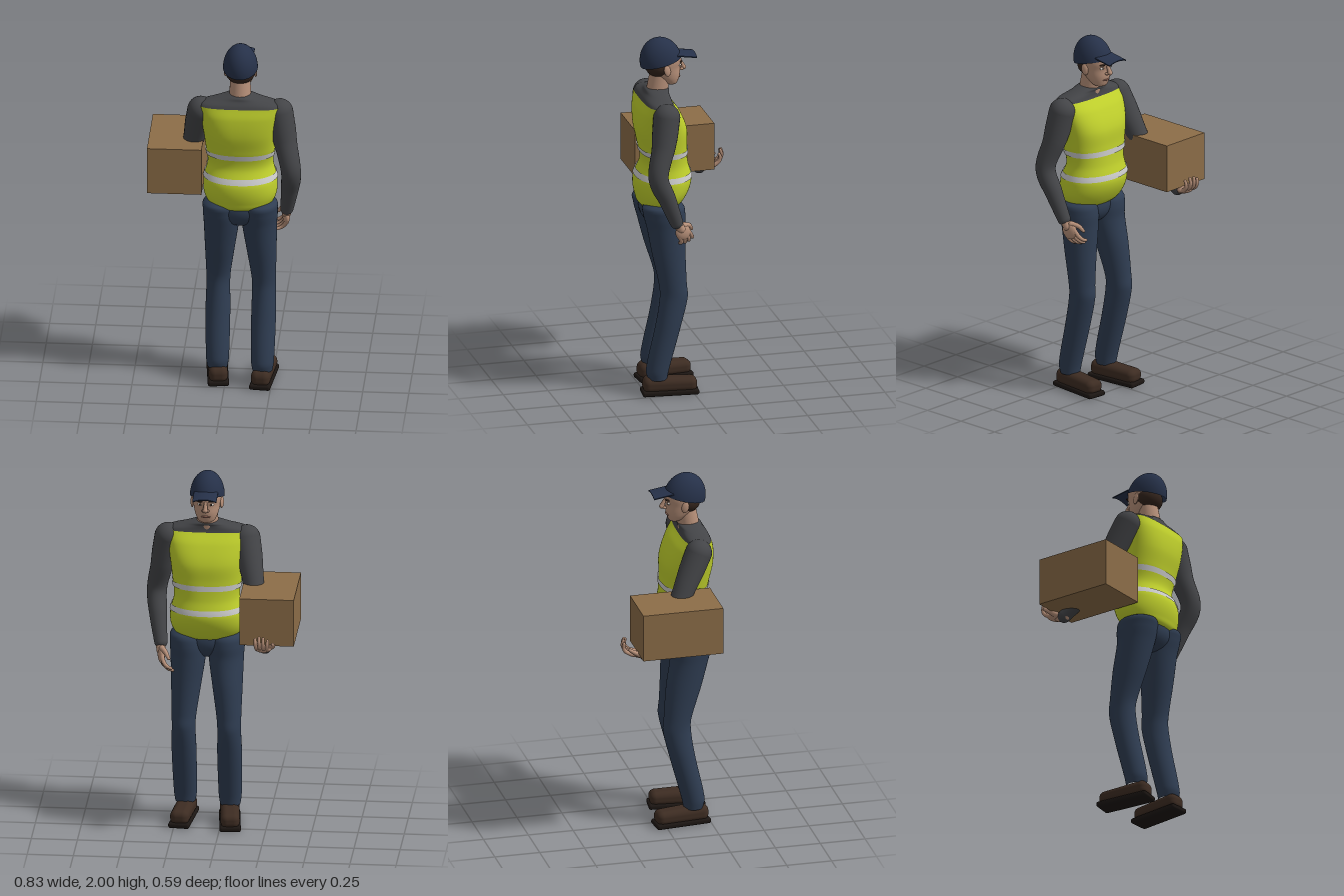
import * as THREE from 'three';
import { RoundedBoxGeometry } from 'three/addons/geometries/RoundedBoxGeometry.js';

const CX = 0.08; // centre line of the body
const V = (x, y, z) => new THREE.Vector3(x, y, z);
const material = (color, side = THREE.FrontSide) => new THREE.MeshStandardMaterial({ color, side });
const yellow = material(0xc0d02c), shirt = material(0x434447), denim = material(0x2f3d52);
const navy = material(0x263149, THREE.DoubleSide), skin = material(0xb8917a), hairMat = material(0x33241c);
const leather = material(0x3d2c22), rubber = material(0x1c1613), silver = material(0xbcbcc0, THREE.DoubleSide);
const card = material(0x8c6d48), eyeWhite = material(0xd8d0c8), dark = material(0x2a1c16), lip = material(0x94685a);

function add(parent, name, geometry, mat, position) {
  const mesh = new THREE.Mesh(geometry, mat);
  mesh.name = name;
  if (position) mesh.position.copy(position);
  parent.add(mesh);
  return mesh;
}

function ball(parent, name, mat, position, rx, ry, rz) {
  const mesh = add(parent, name, new THREE.SphereGeometry(1, 24, 16), mat, position);
  mesh.scale.set(rx, ry, rz);
  return mesh;
}

// Rows are [y, centre x, front z, back z, half width, squareness], rising in y.
function ringAt(rows, y) {
  let i = 0;
  while (i < rows.length - 2 && y > rows[i + 1][0]) i++;
  const p = rows[Math.max(i - 1, 0)], a = rows[i], b = rows[i + 1], n = rows[Math.min(i + 2, rows.length - 1)];
  const h = b[0] - a[0], t = (y - a[0]) / h, t2 = t * t, t3 = t2 * t;
  return a.map((v, k) => k === 0 ? y :
    (2 * t3 - 3 * t2 + 1) * v + (t3 - 2 * t2 + t) * h * (b[k] - p[k]) / (b[0] - p[0]) +
    (3 * t2 - 2 * t3) * b[k] + (t3 - t2) * h * (n[k] - v) / (n[0] - a[0]));
}

function loft(rows, { from = rows[0][0], to = rows.at(-1)[0], grow = 0, steps = 40, sides = 48 } = {}) {
  const levels = [];
  for (let i = 0; i <= steps; i++) levels.push(from + (to - from) * i / steps);
  const pos = [], index = [];
  for (const y of levels) {
    const [, cx, z0, z1, rx, n = 2] = ringAt(rows, y);
    const power = (v) => Math.sign(v) * Math.abs(v) ** (2 / n);
    for (let j = 0; j < sides; j++) {
      const a = j / sides * Math.PI * 2;
      pos.push(cx + (Math.max(rx, 0.001) + grow) * power(Math.cos(a)), y,
        (z0 + z1) / 2 + (Math.max((z1 - z0) / 2, 0.001) + grow) * power(Math.sin(a)));
    }
  }
  for (let i = 0; i < steps; i++) for (let j = 0; j < sides; j++) {
    const a = i * sides + j, b = i * sides + (j + 1) % sides;
    index.push(a, a + sides, b, b, a + sides, b + sides);
  }
  const g = new THREE.BufferGeometry();
  g.setAttribute('position', new THREE.Float32BufferAttribute(pos, 3));
  g.setIndex(index);
  g.computeVertexNormals();
  return g;
}

// Rounded limb along a path, with radii spread evenly over its length
function limb(parent, name, mat, points, radii, segments = 30, sides = 24) {
  const group = new THREE.Group();
  group.name = name;
  parent.add(group);
  const curve = new THREE.CatmullRomCurve3(points, false, 'centripetal');
  const g = new THREE.TubeGeometry(curve, segments, 1, sides);
  const p = g.attributes.position, v = V(0, 0, 0);
  for (let i = 0; i <= segments; i++) {
    const u = i / segments * (radii.length - 1), k = Math.min(Math.floor(u), radii.length - 2);
    const r = THREE.MathUtils.lerp(radii[k], radii[k + 1], u - k), c = curve.getPointAt(i / segments);
    for (let j = 0; j <= sides; j++) {
      const id = i * (sides + 1) + j;
      v.fromBufferAttribute(p, id).sub(c).multiplyScalar(r).add(c);
      p.setXYZ(id, v.x, v.y, v.z);
    }
  }
  add(group, name + 'Tube', g, mat);
  [[points[0], radii[0]], [points.at(-1), radii.at(-1)]].forEach(([c, r]) => ball(group, name + 'End', mat, c, r, r, r));
}

// Hand with its wrist at the origin, fingers along -y and palm facing +z
function hand(parent, name, wrist, direction, palm, thumbSide, curl) {
  const group = new THREE.Group();
  group.name = name;
  const y = direction.clone().negate().normalize();
  const x = new THREE.Vector3().crossVectors(y, palm).normalize();
  group.quaternion.setFromRotationMatrix(new THREE.Matrix4().makeBasis(x, y, new THREE.Vector3().crossVectors(x, y)));
  group.position.copy(wrist);
  parent.add(group);
  limb(group, 'wrist', skin, [V(0, 0.02, 0), V(0, -0.03, 0)], [0.027, 0.025], 4, 16);
  ball(group, 'palm', skin, V(0, -0.055, 0), 0.044, 0.046, 0.02);
  [0.9, 1.02, 1, 0.8].forEach((size, i) => {
    const fx = thumbSide * (0.033 - i * 0.022), points = [V(fx * 0.9, -0.07, 0)];
    [0.042, 0.03, 0.024].forEach((len, k) => {
      const a = curl * (k + 0.5) + i * 0.06;
      points.push(points.at(-1).clone().add(V(fx * 0.06, -Math.cos(a) * len * size, Math.sin(a) * len * size)));
    });
    limb(group, 'finger', skin, points, [0.0125, 0.011, 0.0085], 10, 12);
  });
  limb(group, 'thumb', skin, [V(thumbSide * 0.025, -0.025, 0.004), V(thumbSide * 0.053, -0.055, 0.018),
    V(thumbSide * 0.058, -0.09, 0.032)], [0.017, 0.013, 0.009], 10, 12);
}

function buildHead(model) {
  const head = new THREE.Group();
  head.name = 'head';
  model.add(head);
  add(head, 'face', loft([
    [1.727, CX, 0.07, 0.09, 0.005], [1.735, CX, 0.054, 0.115, 0.036], [1.76, CX, 0.043, 0.15, 0.055],
    [1.79, CX, 0.036, 0.185, 0.066], [1.83, CX, 0.036, 0.21, 0.074], [1.87, CX, 0.028, 0.222, 0.079],
    [1.92, CX, 0.04, 0.22, 0.076], [1.96, CX, 0.09, 0.18, 0.03]]), skin);
  limb(head, 'neck', skin, [V(CX, 1.68, 0.165), V(CX, 1.80, 0.145)], [0.06, 0.055]);
  ball(head, 'hair', hairMat, V(CX, 1.84, 0.152), 0.08, 0.065, 0.074);
  limb(head, 'nose', skin, [V(CX, 1.855, 0.031), V(CX, 1.818, 0.014)], [0.008, 0.014], 8, 12);
  const mouth = ball(head, 'mouth', lip, V(CX, 1.772, 0.042), 0.026, 0.006, 0.008);
  mouth.rotation.x = 0.2;
  for (const s of [-1, 1]) {
    ball(head, 'nostril', skin, V(CX + s * 0.012, 1.812, 0.027), 0.009, 0.008, 0.011);
    ball(head, 'eye', eyeWhite, V(CX + s * 0.031, 1.843, 0.045), 0.013, 0.008, 0.009);
    ball(head, 'pupil', dark, V(CX + s * 0.031, 1.843, 0.038), 0.005, 0.006, 0.004);
    ball(head, 'eyebrow', hairMat, V(CX + s * 0.033, 1.863, 0.037), 0.019, 0.005, 0.008).rotation.y = -s * 0.3;
    const ear = ball(head, 'ear', skin, V(CX + s * 0.08, 1.83, 0.125), 0.009, 0.032, 0.02);
    ear.rotation.set(0.2, s * 0.3, 0);
  }
  // Cap, with its rim raised toward the face
  const crown = add(head, 'capCrown', new THREE.SphereGeometry(1, 40, 20, 0, Math.PI * 2, 0, Math.PI / 2), navy, V(CX, 1.862, 0.14));
  crown.scale.set(0.094, 0.137, 0.115);
  crown.rotation.x = 0.23;
  const brim = new THREE.BoxGeometry(0.13, 0.006, 0.11, 12, 1, 1), p = brim.attributes.position;
  for (let i = 0; i < p.count; i++) p.setY(i, p.getY(i) - 3 * p.getX(i) ** 2);
  brim.computeVertexNormals();
  add(head, 'capBrim', brim, navy, V(CX, 1.908, 0.008)).rotation.x = -0.16;
}

function buildTorso(model) {
  const rows = [
    [1.038, CX, 0.15, 0.16, 0.01], [1.05, CX, 0.075, 0.245, 0.12], [1.1, CX, 0.02, 0.278, 0.186],
    [1.2, CX, -0.02, 0.288, 0.2], [1.3, CX, 0.0, 0.25, 0.178], [1.4, CX, 0.008, 0.264, 0.188],
    [1.5, CX, 0.013, 0.282, 0.2], [1.6, CX, 0.055, 0.278, 0.215], [1.66, CX, 0.1, 0.26, 0.222]
  ].map((r, i) => [...r, i < 5 ? 2.1 : 2.1 + (i - 4) * 0.25]);
  add(model, 'vest', loft(rows, { steps: 80, sides: 64 }), yellow);
  for (const y of [1.37, 1.235]) {
    add(model, 'reflectiveBand', loft(rows, { from: y - 0.015, to: y + 0.015, grow: 0.005, steps: 4, sides: 64 }), silver);
  }
  add(model, 'shirtYoke', loft([
    [1.655, CX, 0.1, 0.26, 0.222, 3.1], [1.675, CX, 0.105, 0.25, 0.205, 2.8], [1.695, CX, 0.105, 0.235, 0.14, 2.2],
    [1.712, CX, 0.1, 0.228, 0.08, 2], [1.722, CX, 0.12, 0.21, 0.05, 2]]), shirt);
}

function buildLegs(model) {
  ball(model, 'pelvis', denim, V(CX, 1.04, 0.155), 0.15, 0.105, 0.105);
  for (const s of [-1, 1]) {
    const name = s > 0 ? 'left' : 'right', f = s > 0 ? 0 : -0.035; // one foot stands further forward
    const x = (d) => CX + s * d;
    add(model, name + 'Trouser', loft([
      [0.09, x(0.123), 0.14 + f, 0.245 + f, 0.055], [0.14, x(0.123), 0.13 + f, 0.255 + f, 0.062],
      [0.4, x(0.125), 0.06 + f, 0.2 + f, 0.067], [0.55, x(0.125), 0.025 + f, 0.178 + f, 0.064],
      [0.62, x(0.123), 0.03 + f, 0.182 + f, 0.067], [0.8, x(0.112), 0.035 + f * 0.7, 0.218 + f * 0.4, 0.083],
      [0.95, x(0.103), 0.035, 0.245, 0.096], [1.03, x(0.104), 0.035, 0.265, 0.099],
      [1.08, x(0.108), 0.055, 0.262, 0.086], [1.105, x(0.11), 0.13, 0.18, 0.02]], { steps: 70, sides: 40 }), denim);
    const shoe = new THREE.Group();
    shoe.name = name + 'Shoe';
    shoe.position.set(x(0.127), 0, 0.125 + f);
    shoe.rotation.y = -s * 0.1;
    model.add(shoe);
    add(shoe, 'sole', new RoundedBoxGeometry(0.115, 0.03, 0.31, 4, 0.012), rubber, V(0, 0.015, 0));
    const upper = new RoundedBoxGeometry(0.104, 0.085, 0.295, 6, 0.035);
    const p = upper.attributes.position;
    for (let i = 0; i < p.count; i++) { // lower the toe
      if (p.getY(i) > 0) p.setY(i, p.getY(i) * (p.getZ(i) < 0 ? 0.85 : 1.15));
    }
    add(shoe, 'upper', upper, leather, V(0, 0.056, 0));
  }
}

function buildArms(model) {
  const radii = [0.073, 0.07, 0.06, 0.055, 0.052, 0.044, 0.036];
  limb(model, 'hangingArm', shirt, [V(0.295, 1.615, 0.165), V(0.325, 1.46, 0.19), V(0.36, 1.29, 0.228),
    V(0.35, 1.16, 0.175), V(0.33, 1.02, 0.12)], radii, 44);
  hand(model, 'hangingHand', V(0.33, 1.005, 0.11), V(-0.1, -0.75, -0.45), V(-1, 0, 0.2), -1, 0.42);
  limb(model, 'carryingArm', shirt, [V(-0.133, 1.615, 0.165), V(-0.165, 1.46, 0.09), V(-0.195, 1.315, 0.02),
    V(-0.23, 1.2, -0.08), V(-0.26, 1.11, -0.165)], radii, 44);
  hand(model, 'carryingHand', V(-0.26, 1.11, -0.175), V(0.1, 0.22, -1), V(0, 1, 0), 1, 0.6);
}

export function createModel() {
  const model = new THREE.Group();
  model.name = 'workerCarryingBox';
  buildHead(model);
  buildTorso(model);
  buildLegs(model);
  buildArms(model);
  add(model, 'cardboardBox', new THREE.BoxGeometry(0.295, 0.265, 0.445), card, V(-0.2725, 1.268, 0.0075));
  return model;
}
